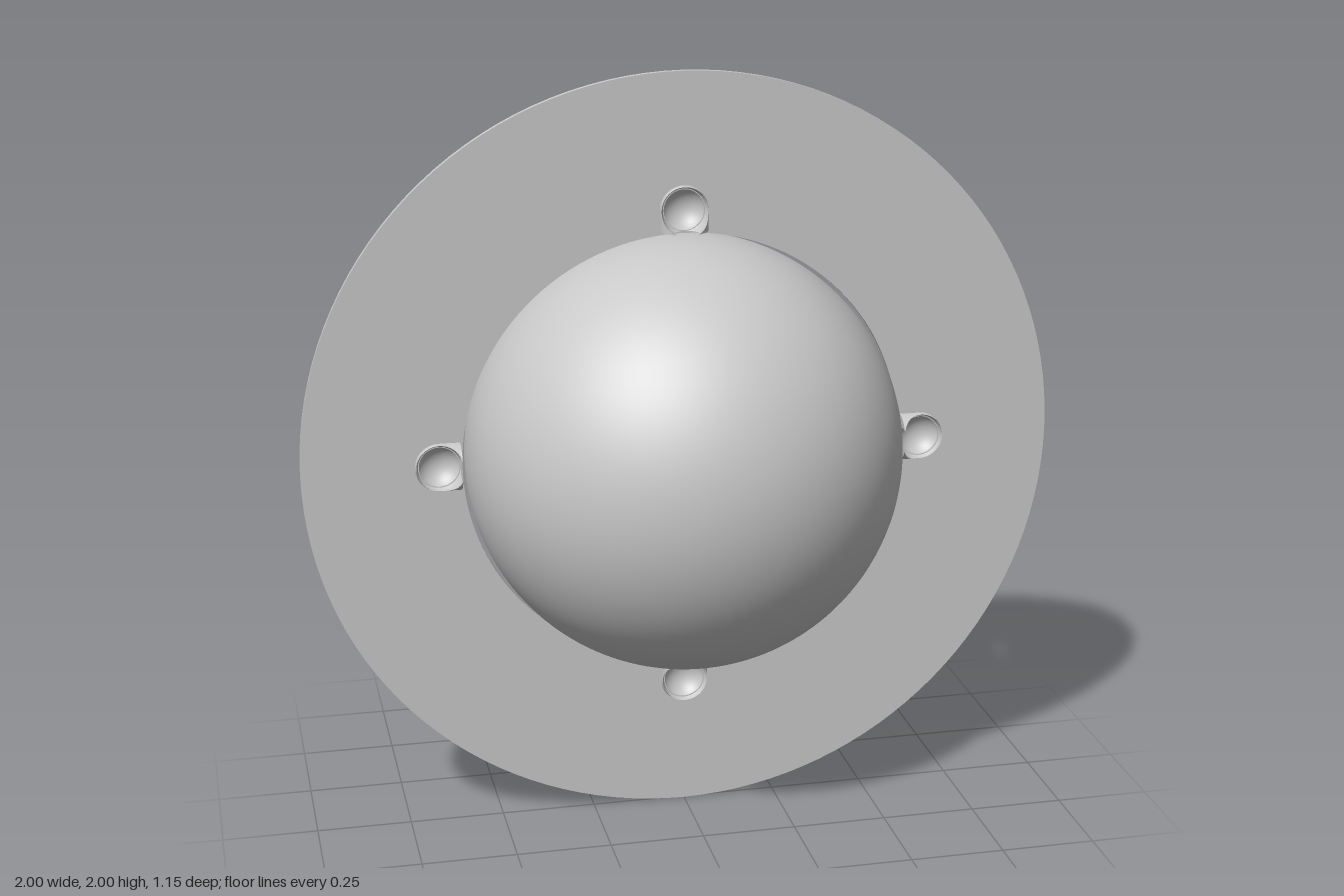
import * as THREE from 'three';

const R = 0.064;      // pod radius and scoop radius
const SCOOP_Z = 0.04; // scoop centre, forward of the pod axis
const BASE = -0.055;  // pod base, measured from its dome centre
const POD_AT = 0.645; // distance of the dome centre from the hub

// Bend a unit grid into a surface: fn(u, v) -> [x, y, z]
function surface(fn, nu, nv) {
  const g = new THREE.PlaneGeometry(1, 1, nu, nv);
  const p = g.attributes.position;
  for (let i = 0; i < p.count; i++) p.setXYZ(i, ...fn(p.getX(i) + 0.5, p.getY(i) + 0.5));
  g.computeVertexNormals();
  return g;
}

// Forward limit of the pod at height y, where the scoop cuts its wall
const rimZ = (y) => SCOOP_Z / 2 + (y < 0 ? (y * y) / (2 * SCOOP_Z) : 0);

// Point on a circle of radius rho about z = cz, opened at the scoop rim
function arcPoint(u, y, rho, cz) {
  const c = rho > 1e-6 ? (rimZ(y) - cz) / rho : 1;
  const a = Math.acos(THREE.MathUtils.clamp(c, -1, 1));
  const t = a + u * 2 * (Math.PI - a);
  return [rho * Math.sin(t), y, cz + rho * Math.cos(t)];
}

const roundAt = (y) => Math.sqrt(Math.max(0, R * R - y * y));
const shellPoint = (u, y) => arcPoint(u, y, y < 0 ? R : roundAt(y), 0);
const scoopPoint = (u, y) => arcPoint(u, y, roundAt(y), SCOOP_Z);

export function createModel() {
  const model = new THREE.Group();
  model.name = 'ringedSphere';
  const grey = new THREE.MeshStandardMaterial({ color: 0xc8c8c8, side: THREE.DoubleSide });
  grey.name = 'light grey';

  const body = new THREE.Group();
  body.name = 'body';
  body.position.y = 1;
  model.add(body);

  const add = (geometry, name, parent) => {
    const mesh = new THREE.Mesh(geometry, grey);
    mesh.name = name;
    parent.add(mesh);
    return mesh;
  };

  // Central sphere
  add(new THREE.SphereGeometry(0.575, 96, 64), 'sphere', body);

  // Thin flat ring, opened behind each scoop
  const disc = new THREE.Shape().absarc(0, 0, 1, 0, Math.PI * 2, false);
  disc.holes.push(new THREE.Path().absarc(0, 0, 0.585, 0, Math.PI * 2, true));
  for (let k = 0; k < 4; k++) {
    const a = (k * Math.PI) / 2;
    disc.holes.push(new THREE.Path().absarc(
      Math.cos(a) * POD_AT, Math.sin(a) * POD_AT, 0.053, 0, Math.PI * 2, true));
  }
  const ring = new THREE.ExtrudeGeometry(disc, { depth: 0.016, bevelEnabled: false, curveSegments: 64 });
  ring.translate(0, 0, -0.008);
  add(ring, 'ring', body);

  // Domed pods with a round scoop in the front
  const yTop = Math.sqrt(R * R - (SCOOP_Z * SCOOP_Z) / 4);
  const dome = surface((u, v) => shellPoint(u, R * Math.sin((v * Math.PI) / 2)), 40, 20);
  const wall = surface((u, v) => shellPoint(u, BASE * (1 - v)), 40, 12);
  const scoop = surface((u, v) => scoopPoint(u, BASE + (yTop - BASE) * Math.sin((v * Math.PI) / 2)), 40, 28);
  const floor = surface((u, v) => {
    const a = shellPoint(u, BASE);
    const b = scoopPoint(u, BASE);
    return a.map((n, i) => n + (b[i] - n) * v);
  }, 40, 1);

  ['topPod', 'rightPod', 'bottomPod', 'leftPod'].forEach((name, k) => {
    const pod = new THREE.Group();
    pod.name = name;
    pod.rotation.z = (k * Math.PI) / 2;
    add(dome, 'podDome', pod);
    add(wall, 'podWall', pod);
    add(scoop, 'podScoop', pod);
    add(floor, 'podBase', pod);
    pod.children.forEach((mesh) => { mesh.position.y = POD_AT; });
    body.add(pod);
  });

  return model;
}
